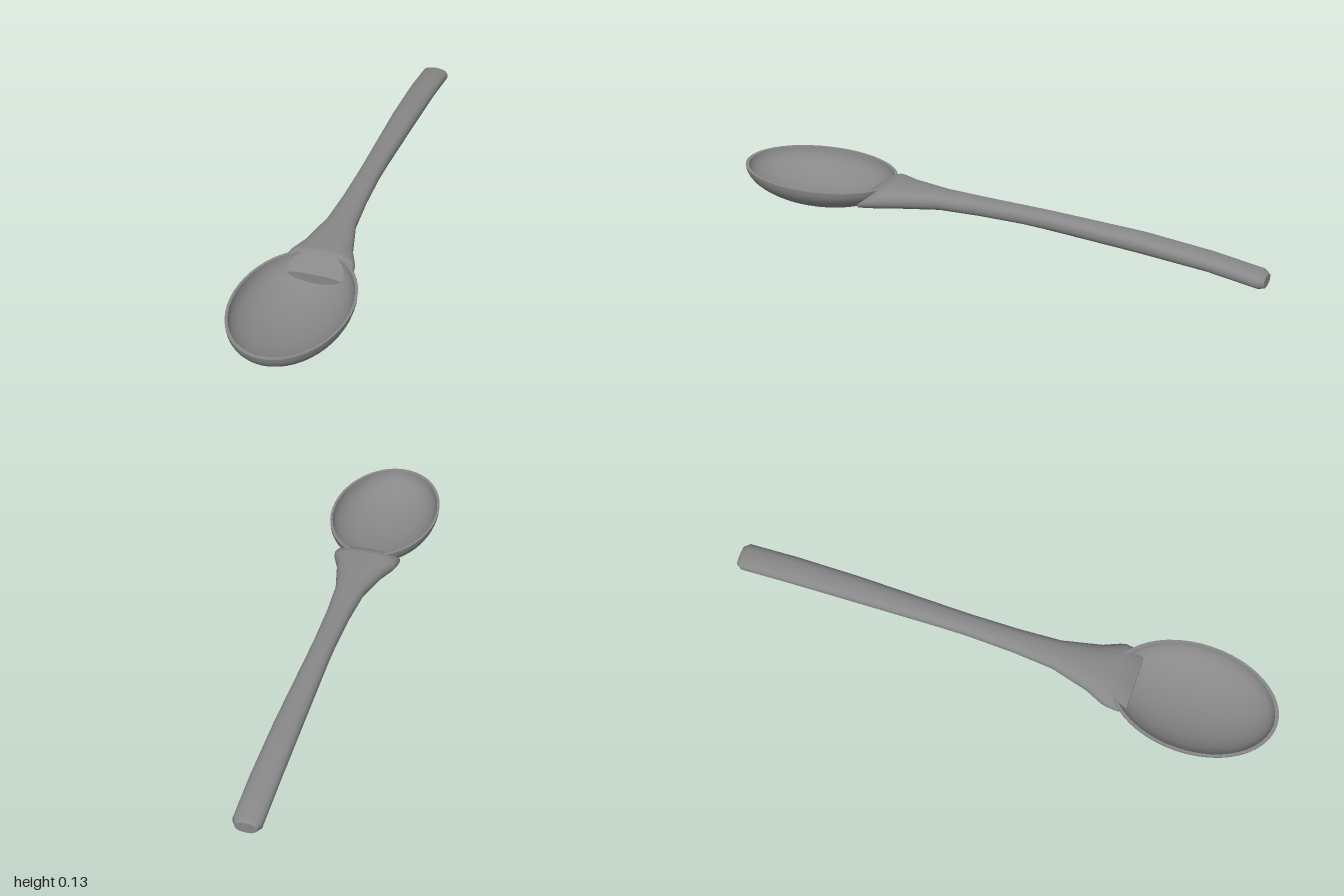
import * as THREE from 'three';

const RIM_Y = 0.117, BOWL_Z = 0.7;

// Quarter-ellipse profile from the bottom centre up to the rim
function bowlArc(radius, depth, steps = 12) {
  return Array.from({ length: steps + 1 }, (_, i) => {
    const a = (i / steps) * Math.PI / 2;
    return new THREE.Vector2(Math.sin(a) * radius, RIM_Y - Math.cos(a) * depth);
  });
}

// Handle sections from the bowl to the tip: z, top, bottom, half width
const SECTIONS = [
  [0.49, 0.08, 0.035, 0.112],
  [0.46, 0.104, 0.038, 0.12],
  [0.42, 0.126, 0.041, 0.12],
  [0.4, 0.127, 0.042, 0.115],
  [0.34, 0.127, 0.046, 0.088],
  [0.2, 0.127, 0.061, 0.053],
  [0.05, 0.127, 0.066, 0.043],
  [-0.12, 0.127, 0.068, 0.039],
  [-0.22, 0.126, 0.065, 0.04],
  [-0.55, 0.115, 0.05, 0.047],
  [-0.8, 0.092, 0.034, 0.05],
  [-0.98, 0.066, 0.009, 0.05],
  [-1, 0.053, 0.013, 0.036],
];

// One rounded cross-section, slightly squarer than an ellipse
function ring([z, top, bottom, half], sides) {
  const p = v => Math.sign(v) * Math.pow(Math.abs(v), 0.85);
  return Array.from({ length: sides }, (_, i) => {
    const a = (i / sides) * Math.PI * 2;
    return [half * p(Math.cos(a)), (top + bottom) / 2 + (top - bottom) / 2 * p(Math.sin(a)), z];
  });
}

function loft(sections, sides) {
  const pos = [], idx = [];
  sections.forEach(s => pos.push(...ring(s, sides).flat()));
  for (let r = 0; r < sections.length - 1; r++) {
    for (let i = 0; i < sides; i++) {
      const j = (i + 1) % sides;
      const a = r * sides + i, b = r * sides + j, c = a + sides, d = b + sides;
      idx.push(a, c, b, b, c, d);
    }
  }
  // Flat end caps with their own vertices keep the end edges sharp
  [[sections[0], false], [sections[sections.length - 1], true]].forEach(([s, flip]) => {
    const base = pos.length / 3;
    pos.push(...ring(s, sides).flat());
    for (let i = 1; i < sides - 1; i++) {
      idx.push(base, base + (flip ? i + 1 : i), base + (flip ? i : i + 1));
    }
  });
  const g = new THREE.BufferGeometry();
  g.setAttribute('position', new THREE.Float32BufferAttribute(pos, 3));
  g.setIndex(idx);
  g.computeVertexNormals();
  return g;
}

export function createModel() {
  const model = new THREE.Group();
  model.name = 'spoon';
  const grey = new THREE.MeshStandardMaterial({ color: 0x888888 });
  grey.name = 'grey';

  const add = (parent, name, geometry) => {
    const mesh = new THREE.Mesh(geometry, grey);
    mesh.name = name;
    parent.add(mesh);
  };

  // Oval bowl: outer shell, flat rim and inner shell
  const bowl = new THREE.Group();
  bowl.name = 'bowl';
  const outer = bowlArc(0.2, RIM_Y);
  const inner = bowlArc(0.191, 0.107).reverse();
  const profiles = { bowlOutside: outer, bowlRim: [outer[outer.length - 1], inner[0]], bowlInside: inner };
  for (const [name, points] of Object.entries(profiles)) {
    const g = new THREE.LatheGeometry(points, 48);
    g.scale(1, 1, 1.5);
    g.translate(0, 0, BOWL_Z);
    add(bowl, name, g);
  }
  model.add(bowl);

  // Curved handle that flares into the bowl
  add(model, 'handle', loft(SECTIONS, 28));
  return model;
}
